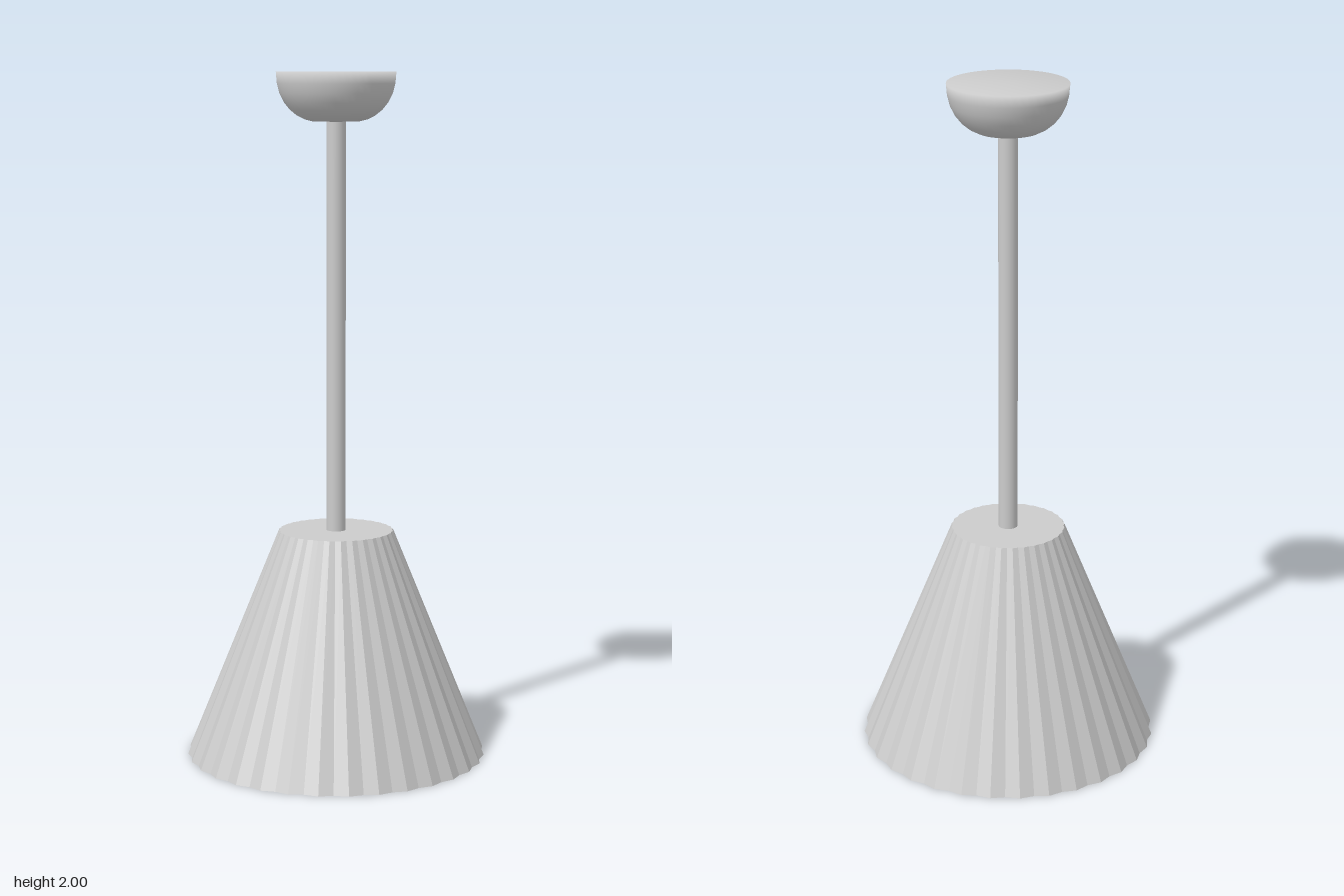
import * as THREE from 'three';

const PLEATS = 32;
const SIDES = PLEATS * 2;

// Pull every second spoke inward so a round form becomes pleated.
function pleat(geometry) {
  const pos = geometry.attributes.position;
  for (let i = 0; i < pos.count; i++) {
    const x = pos.getX(i), z = pos.getZ(i);
    const spoke = Math.round((Math.atan2(x, z) / (Math.PI * 2)) * SIDES);
    const k = spoke % 2 === 0 ? 0.979 : 1;
    pos.setX(i, x * k);
    pos.setZ(i, z * k);
  }
  geometry.computeVertexNormals();
  return geometry;
}

export function createModel() {
  const group = new THREE.Group();
  const smooth = new THREE.MeshStandardMaterial({ color: 0xcccccc });
  const folded = new THREE.MeshStandardMaterial({
    color: 0xcccccc, flatShading: true, side: THREE.DoubleSide,
  });

  const add = (name, geometry, material, y = 0) => {
    const mesh = new THREE.Mesh(geometry, material);
    mesh.name = name;
    mesh.position.y = y;
    group.add(mesh);
  };

  const shadeHeight = 0.67, canopyBottom = 1.86;

  // Pleated conical shade, open below
  const cone = new THREE.CylinderGeometry(0.168, 0.44, shadeHeight, SIDES, 1, true);
  add('shade', pleat(cone), folded, shadeHeight / 2);

  // Flat lid closing the top of the shade
  const lid = new THREE.CircleGeometry(0.168, SIDES).rotateX(-Math.PI / 2);
  add('shadeTop', pleat(lid), folded, shadeHeight);

  // Hanging rod
  const rodLength = canopyBottom - shadeHeight + 0.01;
  add('rod', new THREE.CylinderGeometry(0.028, 0.028, rodLength, 32), smooth,
    shadeHeight + rodLength / 2);

  // Bowl-shaped ceiling canopy with a softly shaded flat top
  const profile = [
    [0, 0], [0.07, 0], [0.09, 0.005], [0.112, 0.016], [0.132, 0.032],
    [0.149, 0.053], [0.162, 0.079], [0.169, 0.107], [0.172, 0.14], [0, 0.14],
  ].map(([r, y]) => new THREE.Vector2(r, y));
  add('canopy', new THREE.LatheGeometry(profile, 48), smooth, canopyBottom);

  return group;
}
